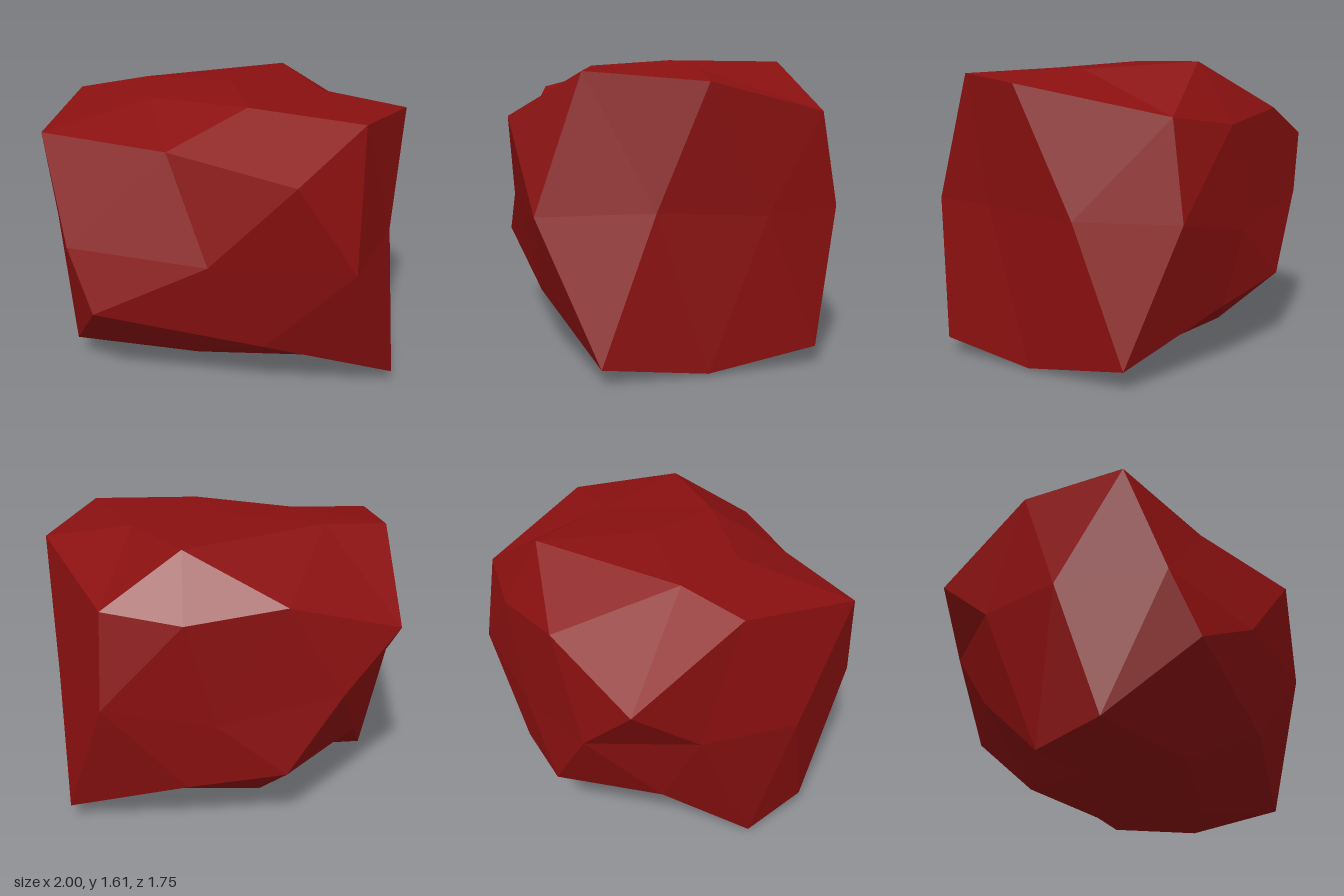
import * as THREE from 'three';

// A chiselled boulder: an irregular twenty-sided solid, each side split into four facets.
const corners = {
  A: [0.45, 1.31, 0.88], B: [-0.62, 0.53, 0.84], C: [-0.92, 1.45, 0.575],
  D: [0.99, 0.09, 0.475], E: [1.0, 1.49, -0.06], F: [0, 1.61, -0.08],
  G: [-0.87, 1.175, -0.71], H: [0.25, 1.28, -0.875], I: [0.9, 0.11, -0.67],
  J: [-0.87, 0.03, 0.04], K: [-0.28, 0.41, -0.875], L: [0, 0.03, -0.02],
};

// Break point on the edge between two corners
const breaks = {
  AB: [0, 0.84, 0.835], AC: [-0.24, 1.395, 0.66], AD: [0.76, 0.82, 0.775],
  AE: [0.77, 1.54, 0.53], AF: [0.15, 1.575, 0.4], BC: [-0.77, 0.87, 0.745],
  BD: [0.28, 0.33, 0.71], BJ: [-0.86, 0.13, 0.41], BL: [-0.12, 0.12, 0.46],
  CF: [-0.41, 1.56, 0.2], CG: [-0.9, 1.54, -0.1], CJ: [-1.0, 0.84, 0.21],
  DE: [0.94, 0.85, 0.19], DI: [0.94, 0.015, -0.08], DL: [0.5, 0.005, 0.22],
  EF: [0.52, 1.56, -0.12], EH: [0.66, 1.33, -0.785], EI: [0.94, 0.82, -0.385],
  FG: [-0.53, 1.585, -0.23], FH: [0.25, 1.6, -0.665], GH: [-0.27, 1.35, -0.84],
  GJ: [-0.9, 0.87, -0.33], GK: [-0.57, 0.855, -0.83], HI: [0.68, 0.82, -0.865],
  HK: [0.09, 0.71, -0.87], IK: [0.24, 0.32, -0.83], IL: [0.48, 0.005, -0.38],
  JK: [-0.72, 0.43, -0.45], JL: [-0.45, 0.03, 0.02], KL: [-0.17, 0.11, -0.56],
};

const sides = 'ABC ABD ACF AEF ADE CFG FGH EFH EHI DEI BCJ CGJ BDL BJL DIL GHK HIK GJK JKL IKL'.split(' ');

function rockGeometry() {
  const centre = new THREE.Vector3(0, 0.8, 0);
  const positions = [];
  for (const side of sides) {
    let [p, q, r] = side;
    const [a, b, c] = [p, q, r].map((k) => new THREE.Vector3(...corners[k]).sub(centre));
    // Keep every side facing outward
    if (b.clone().cross(c).dot(a) < 0) [q, r] = [r, q];
    const mid = (m, n) => breaks[m < n ? m + n : n + m];
    const pq = mid(p, q), qr = mid(q, r), rp = mid(r, p);
    const facets = [
      [corners[p], pq, rp], [pq, corners[q], qr],
      [rp, qr, corners[r]], [pq, qr, rp],
    ];
    positions.push(...facets.flat(2));
  }
  const geometry = new THREE.BufferGeometry();
  geometry.setAttribute('position', new THREE.Float32BufferAttribute(positions, 3));
  geometry.computeVertexNormals(); // unshared corners give flat facets
  return geometry;
}

export function createModel() {
  const group = new THREE.Group();
  group.name = 'boulder';
  const darkRed = new THREE.MeshStandardMaterial({ color: 0x8a1010 });
  darkRed.name = 'darkRed';
  const rock = new THREE.Mesh(rockGeometry(), darkRed);
  rock.name = 'rock';
  group.add(rock);
  return group;
}
